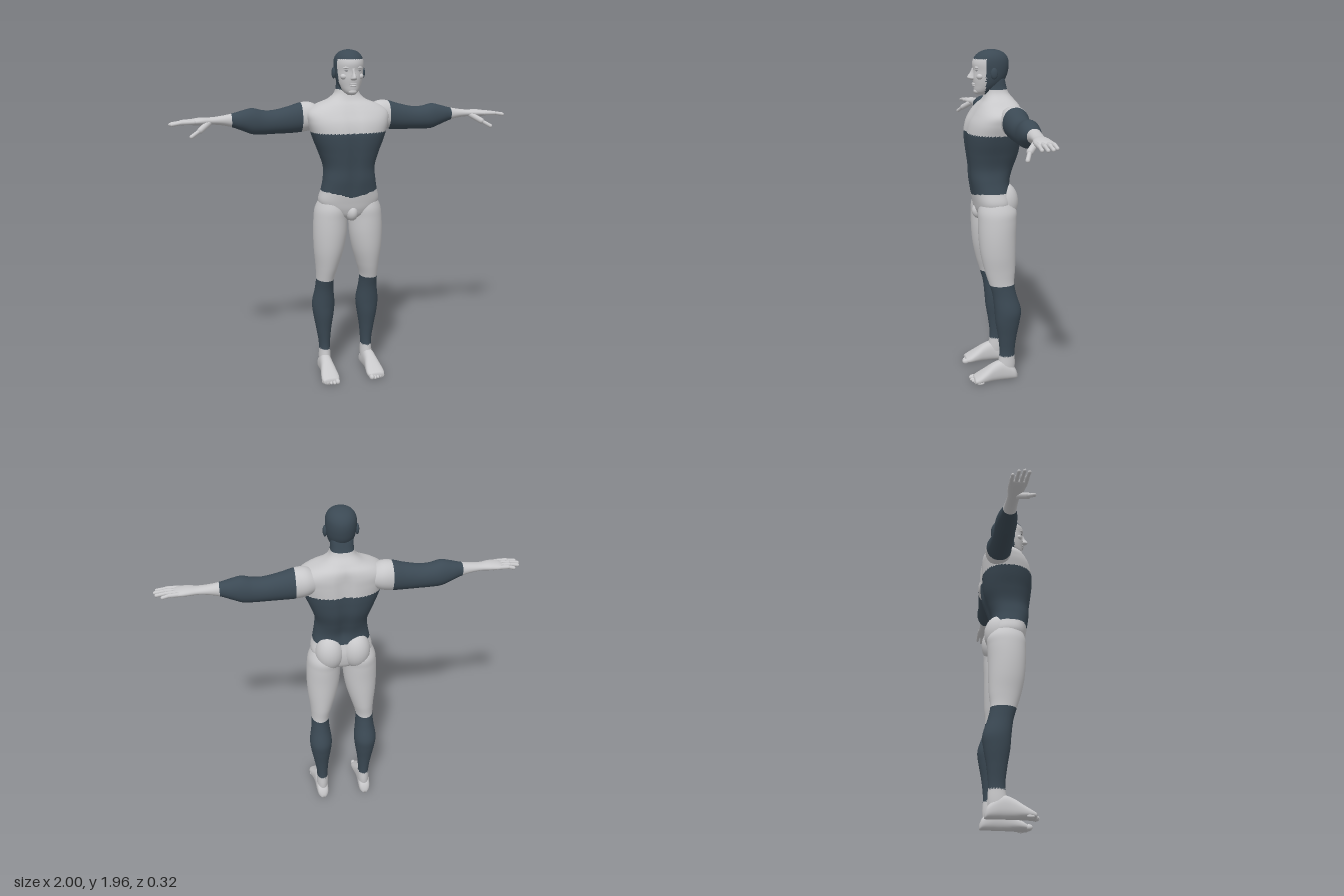
import * as THREE from 'three';

const skin = new THREE.MeshStandardMaterial({ color: 0xc8c8ca });
skin.name = 'pale skin';
const suit = new THREE.MeshStandardMaterial({ color: 0x3b4954 });
suit.name = 'dark slate';
const eyeGrey = new THREE.MeshStandardMaterial({ color: 0x85878b });
eyeGrey.name = 'eye grey';

// Smooth interpolation between cross-sections [t, centreU, centreV, radiusU, radiusV]
function sectionAt(list, t) {
  let k = 0;
  while (k < list.length - 2 && t > list[k + 1][0]) k++;
  const p = list[k], q = list[k + 1], o = list[k - 1] || p, r = list[k + 2] || q;
  const h = q[0] - p[0], f = (t - p[0]) / h, f2 = f * f, f3 = f2 * f;
  return p.map((a, i) => {
    const b = q[i];
    const m0 = (b - o[i]) / (q[0] - o[0]) * h, m1 = (r[i] - a) / (r[0] - p[0]) * h;
    return a * (2 * f3 - 3 * f2 + 1) + m0 * (f3 - 2 * f2 + f) + b * (3 * f2 - 2 * f3) + m1 * (f3 - f2);
  });
}

// Loft along x, y or z; triangles whose centre passes isDark take the suit colour
const toPoint = {
  x: (u, v, t) => new THREE.Vector3(t, u, v),
  y: (u, v, t) => new THREE.Vector3(v, t, u),
  z: (u, v, t) => new THREE.Vector3(u, v, t),
};
function loft(name, axis, sections, { steps = 40, sides = 36, power = 2, side = 1, isDark = () => false, shape = p => p } = {}) {
  const list = [...sections].sort((a, b) => a[0] - b[0]);
  const first = list[0][0], last = list[list.length - 1][0], pts = [], tris = [];
  const round = c => Math.sign(c) * Math.pow(Math.abs(c), 2 / power);
  for (let j = 0; j <= steps; j++) {
    const t = first + (last - first) * j / steps;
    const [, cu, cv, ru, rv] = sectionAt(list, t);
    for (let i = 0; i < sides; i++) {
      const a = i / sides * Math.PI * 2;
      pts.push(shape(toPoint[axis](cu + ru * round(Math.cos(a)), cv + rv * round(Math.sin(a)), t)));
      const n = (i + 1) % sides, b = j * sides;
      if (j < steps) tris.push([b + i, b + n, b + n + sides], [b + i, b + n + sides, b + i + sides]);
    }
  }
  const ends = [list[0], list[list.length - 1]].map(s => pts.push(toPoint[axis](s[1], s[2], s[0])) - 1);
  for (let i = 0; i < sides; i++) {
    const n = (i + 1) % sides, top = steps * sides;
    tris.push([ends[0], n, i], [ends[1], top + i, top + n]);
  }
  const pale = [], dark = [], c = new THREE.Vector3();
  for (const t of tris) {
    c.set(0, 0, 0);
    t.forEach(i => c.addScaledVector(pts[i], 1 / 3));
    (isDark(c) ? dark : pale).push(...(side < 0 ? [t[0], t[2], t[1]] : t));
  }
  pts.forEach(p => { p.x *= side; });
  const g = new THREE.BufferGeometry().setFromPoints(pts);
  g.setIndex([...pale, ...dark]);
  g.computeVertexNormals();
  if (dark.length) {
    g.addGroup(0, pale.length, 0);
    g.addGroup(pale.length, dark.length, 1);
  }
  const mesh = new THREE.Mesh(g, dark.length ? [skin, suit] : skin);
  mesh.name = name;
  return mesh;
}

// Upright section from its front, back and side limits
const slab = (y, zf, zb, x0, x1) => [y, (zf + zb) / 2, (x0 + x1) / 2, (zf - zb) / 2, (x1 - x0) / 2];

function ellipsoid(name, pos, radii, material = skin) {
  const mesh = new THREE.Mesh(new THREE.SphereGeometry(1, 24, 16), material);
  mesh.scale.set(...radii);
  mesh.position.set(...pos);
  mesh.name = name;
  return mesh;
}

function digit(name, from, to, radius) {
  const a = new THREE.Vector3(...from), b = new THREE.Vector3(...to);
  const d = b.clone().sub(a);
  const mesh = new THREE.Mesh(new THREE.CapsuleGeometry(radius, d.length(), 6, 12), skin);
  mesh.position.copy(a).add(b).multiplyScalar(0.5);
  mesh.quaternion.setFromUnitVectors(new THREE.Vector3(0, 1, 0), d.normalize());
  mesh.name = name;
  return mesh;
}

export function createModel() {
  const model = new THREE.Group();
  model.name = 'figure';

  // Torso with pelvis and neck
  const torso = [
    [0.98, 0.03, -0.05, 0.03], [1.01, 0.08, -0.09, 0.09], [1.05, 0.1, -0.105, 0.15],
    [1.1, 0.11, -0.108, 0.178], [1.17, 0.122, -0.098, 0.163], [1.23, 0.132, -0.097, 0.152],
    [1.3, 0.136, -0.118, 0.148], [1.38, 0.146, -0.145, 0.172], [1.45, 0.153, -0.154, 0.2],
    [1.5, 0.153, -0.156, 0.217], [1.56, 0.138, -0.157, 0.235], [1.61, 0.108, -0.156, 0.235],
    [1.65, 0.078, -0.147, 0.185], [1.68, 0.052, -0.125, 0.11], [1.72, 0.036, -0.093, 0.069],
    [1.8, 0.03, -0.07, 0.06],
  ].map(([y, f, b, w]) => slab(y, f, b, -w, w));
  model.add(loft('torso', 'y', torso, {
    steps: 130, sides: 56, power: 2.5,
    isDark: p => (p.y < 1.5 && p.y > 1.165 - (p.z > 0 ? 0.035 * Math.max(0, 1 - Math.abs(p.x) / 0.15) : 0))
      || (p.y > 1.735 && p.z < 0.02),
    // Spine groove and breastbone line
    shape: p => {
      const band = THREE.MathUtils.smoothstep(p.y, 1.1, 1.25) * (1 - THREE.MathUtils.smoothstep(p.y, 1.58, 1.7));
      p.z -= Math.sign(p.z) * (p.z < 0 ? 0.018 : 0.008) * band * Math.exp(-((p.x / 0.03) ** 2));
      return p;
    },
  }));
  model.add(ellipsoid('groin', [0, 1.035, 0.072], [0.036, 0.048, 0.046]));

  // Head with cropped dark hair and sideburns
  const head = [
    [1.708, 0.085, 0.03, 0.018], [1.725, 0.098, 0.0, 0.04], [1.76, 0.103, -0.05, 0.062],
    [1.8, 0.108, -0.08, 0.075], [1.84, 0.106, -0.093, 0.081], [1.88, 0.11, -0.097, 0.083],
    [1.91, 0.1, -0.09, 0.078], [1.935, 0.076, -0.07, 0.062], [1.95, 0.045, -0.04, 0.038],
    [1.956, 0.015, -0.01, 0.01],
  ].map(([y, f, b, w]) => slab(y, f, b, -w, w));
  model.add(loft('head', 'y', head, {
    steps: 70, sides: 48, isDark: p => p.y > 1.905 || (p.z < 0.045 && (p.y > 1.735 || p.z > 0.02)),
  }));
  model.add(loft('nose', 'y', [
    slab(1.79, 0.115, 0.08, -0.01, 0.01), slab(1.798, 0.136, 0.08, -0.017, 0.017),
    slab(1.81, 0.138, 0.08, -0.013, 0.013), slab(1.83, 0.123, 0.08, -0.009, 0.009),
    slab(1.855, 0.112, 0.08, -0.01, 0.01),
  ], { steps: 16, sides: 20 }));
  model.add(ellipsoid('upperLip', [0, 1.769, 0.102], [0.023, 0.005, 0.011]));
  model.add(ellipsoid('lowerLip', [0, 1.759, 0.1], [0.02, 0.006, 0.011]));
  model.add(ellipsoid('chin', [0, 1.727, 0.082], [0.026, 0.017, 0.022]));

  // Limb profiles
  const arm = [
    [0.14, 1.58, -0.07, 0.05, 0.055], [0.2, 1.584, -0.074, 0.078, 0.076], [0.26, 1.579, -0.075, 0.084, 0.074],
    [0.33, 1.567, -0.072, 0.076, 0.067], [0.42, 1.557, -0.07, 0.067, 0.062], [0.48, 1.557, -0.069, 0.068, 0.06],
    [0.54, 1.565, -0.068, 0.073, 0.06], [0.6, 1.57, -0.066, 0.055, 0.052], [0.65, 1.573, -0.064, 0.039, 0.039],
    [0.71, 1.575, -0.061, 0.026, 0.034], [0.77, 1.575, -0.057, 0.02, 0.034], [0.82, 1.575, -0.053, 0.021, 0.044],
    [0.87, 1.573, -0.051, 0.017, 0.047], [0.9, 1.571, -0.05, 0.009, 0.038],
  ];
  const leg = [
    [1.15, 0.07, -0.06, 0.05, 0.15], [1.06, 0.1, -0.12, 0.008, 0.194], [1.0, 0.102, -0.122, 0.008, 0.204],
    [0.9, 0.1, -0.118, 0.012, 0.208], [0.8, 0.09, -0.116, 0.03, 0.204], [0.7, 0.068, -0.112, 0.06, 0.193],
    [0.62, 0.044, -0.105, 0.083, 0.188], [0.55, 0.024, -0.118, 0.082, 0.192], [0.45, 0.012, -0.147, 0.071, 0.206],
    [0.38, 0.006, -0.14, 0.077, 0.2], [0.28, -0.01, -0.122, 0.092, 0.182], [0.18, -0.02, -0.112, 0.1, 0.167],
    [0.1, -0.01, -0.115, 0.098, 0.169], [0.04, 0, -0.11, 0.102, 0.168],
  ].map(s => slab(...s));
  const foot = [
    [-0.13, 0.03, 0.014], [-0.118, 0.062, 0.03], [-0.08, 0.1, 0.037], [-0.03, 0.125, 0.038],
    [0.02, 0.11, 0.041], [0.07, 0.078, 0.05], [0.11, 0.052, 0.054], [0.14, 0.034, 0.046],
  ].map(([z, top, w]) => [z, 0.135 + (z + 0.13) * 0.03, top / 2, w, top / 2]);

  for (const s of [1, -1]) {
    const label = s > 0 ? 'left' : 'right';
    const part = (base, ...rest) => model.add(ellipsoid(label + base, ...rest));

    // Face details
    part('Ear', [s * 0.086, 1.828, 0.004], [0.011, 0.031, 0.02], suit);
    part('Brow', [s * 0.034, 1.859, 0.092], [0.023, 0.006, 0.012]);
    part('Eye', [s * 0.034, 1.843, 0.093], [0.013, 0.0045, 0.006], eyeGrey);
    part('Cheekbone', [s * 0.045, 1.81, 0.075], [0.022, 0.017, 0.02]);

    // Arm, hand and fingers
    model.add(loft(label + 'Arm', 'x', arm, {
      steps: 100, side: s, power: 2.1, isDark: p => p.x > 0.26 && p.x < 0.655,
    }));
    [[-0.012, -0.006, 0.982], [-0.037, -0.032, 0.991], [-0.062, -0.06, 0.982], [-0.086, -0.088, 0.95]].forEach(([z0, z1, tip], i) => {
      const mid = (0.88 + tip) / 2;
      const knuckle = [s * mid, 1.573, (z0 + z1) / 2];
      model.add(digit(label + 'FingerBase' + (i + 1), [s * 0.865, 1.574, z0], knuckle, 0.0115));
      model.add(digit(label + 'FingerTip' + (i + 1), knuckle, [s * tip, 1.565, z1], 0.0095));
    });
    model.add(digit(label + 'ThumbBase', [s * 0.785, 1.565, -0.035], [s * 0.835, 1.532, 0.008], 0.017));
    model.add(digit(label + 'ThumbTip', [s * 0.835, 1.532, 0.008], [s * 0.885, 1.502, 0.032], 0.011));

    // Leg, buttock, foot and toes
    model.add(loft(label + 'Leg', 'y', leg, {
      steps: 110, side: s, isDark: p => p.y > 0.155 && p.y < 0.615,
    }));
    part('Buttock', [s * 0.076, 1.1, -0.052], [0.084, 0.115, 0.086]);
    model.add(loft(label + 'Foot', 'z', foot, { side: s, power: 2.4 }));
    for (let i = 0; i < 5; i++) {
      const r = i ? 0.0125 - i * 0.0006 : 0.017;
      part('Toe' + (i + 1), [s * (0.108 + i * 0.0195), r, 0.142 - i * i * 0.0022], [r * 0.9, r, 0.022]);
    }
  }
  return model;
}
